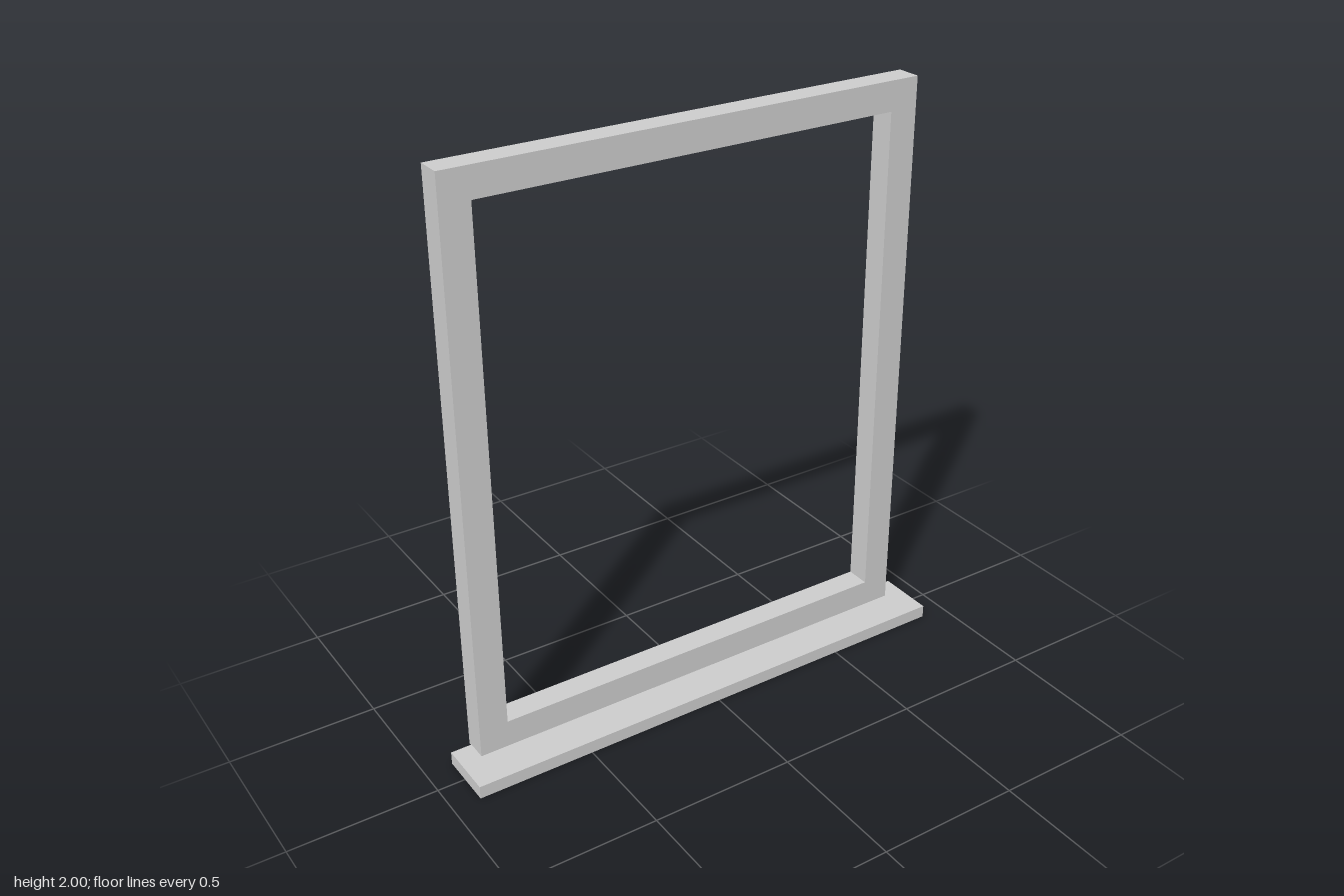
import * as THREE from 'three';

const material = new THREE.MeshStandardMaterial({ color: 0xcccccc, flatShading: true });

// Corner points of an axis-aligned rectangle
const rectangle = (x0, y0, x1, y1) => [[x0, y0], [x1, y0], [x1, y1], [x0, y1]]
  .map(([x, y]) => new THREE.Vector2(x, y));

export function createModel() {
  const group = new THREE.Group();
  group.name = 'windowFrame';

  // Rectangular frame with an open centre
  const outline = new THREE.Shape(rectangle(-0.832, 0.04, 0.832, 2));
  outline.holes.push(new THREE.Path(rectangle(-0.732, 0.14, 0.732, 1.9).reverse()));
  const frame = new THREE.Mesh(
    new THREE.ExtrudeGeometry(outline, { depth: 0.086, bevelEnabled: false }), material);
  frame.name = 'frame';
  frame.position.z = -0.109;
  group.add(frame);

  // Sill board projecting forward under the frame
  const sill = new THREE.Mesh(new THREE.BoxGeometry(1.81, 0.045, 0.203), material);
  sill.name = 'sill';
  sill.position.set(0, 0.0225, 0.0075);
  group.add(sill);

  return group;
}
